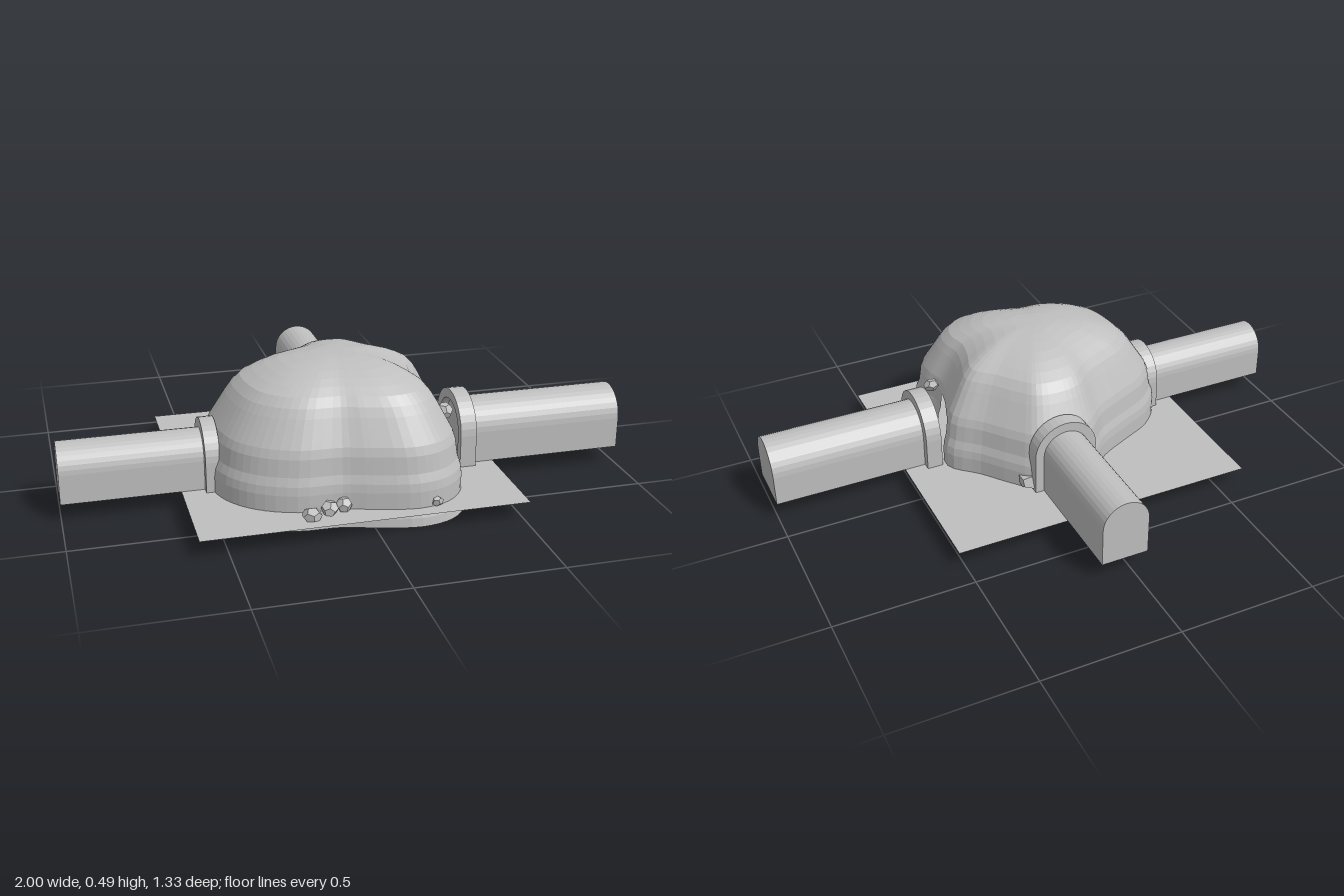
import * as THREE from 'three';

const stone = new THREE.MeshStandardMaterial({ color: 0xbfbfbf, flatShading: true, side: THREE.DoubleSide });
stone.name = 'grey stone';

const FLOOR = 0.062;
const APEX = new THREE.Vector2(-0.04, 0.21);

// Footprint of the cave as x, z points, anticlockwise from the left tunnel mouth
const footprint = [
  [0.335, 0.22], [0.37, 0.07], [0.28, -0.03], [0.2, -0.13], [0.13, -0.2], [0.02, -0.22],
  [-0.09, -0.2], [-0.18, -0.12], [-0.3, -0.06], [-0.42, 0.0], [-0.5, 0.1], [-0.5, 0.25],
  [-0.46, 0.39], [-0.38, 0.48], [-0.25, 0.54], [-0.1, 0.55], [0.0, 0.58], [0.15, 0.61],
  [0.26, 0.58], [0.33, 0.5], [0.34, 0.42], [0.32, 0.33],
];
// Height and footprint scale of each section, foot to crown
const sections = [
  [0.06, 1], [0.09, 1], [0.12, 1], [0.15, 0.99], [0.18, 0.965], [0.21, 0.955], [0.24, 0.945],
  [0.27, 0.92], [0.3, 0.88], [0.33, 0.84], [0.36, 0.8], [0.39, 0.755], [0.42, 0.69],
  [0.442, 0.6], [0.46, 0.51], [0.475, 0.41], [0.485, 0.3], [0.492, 0.18], [0.494, 0.08], [0.494, 0.001],
];

// Joins scaled copies of the footprint; keep() may leave openings
function loft(levels, count, keep = () => true) {
  const curve = new THREE.CatmullRomCurve3(footprint.map(([x, z]) => new THREE.Vector3(x, 0, z)), true);
  const ring = curve.getPoints(count).slice(0, count);
  const pos = [], index = [];
  for (const [y, s] of levels) {
    for (const p of ring) pos.push(APEX.x + (p.x - APEX.x) * s, y, APEX.y + (p.z - APEX.y) * s);
  }
  for (let i = 0; i < levels.length - 1; i++) {
    for (let j = 0; j < count; j++) {
      const a = i * count + j, b = i * count + (j + 1) % count;
      if (!keep(pos[a * 3], pos[a * 3 + 1], pos[a * 3 + 2])) continue;
      index.push(a, b, b + count, a, b + count, a + count);
    }
  }
  const g = new THREE.BufferGeometry();
  g.setAttribute('position', new THREE.Float32BufferAttribute(pos, 3));
  g.setIndex(index);
  g.computeVertexNormals();
  return g;
}

// Round-topped doorway outline standing on y = 0
function arch(target, half, top) {
  target.moveTo(-half, 0);
  target.lineTo(half, 0);
  target.lineTo(half, top - half);
  target.absarc(0, top - half, half, 0, Math.PI, false);
  target.lineTo(-half, 0);
  return target;
}

function addMesh(parent, name, geometry) {
  const m = new THREE.Mesh(geometry, stone);
  m.name = name;
  parent.add(m);
  return m;
}

// Tunnel running along local +z from its framed mouth
function tunnel({ name, at, turn, half, top, length, frameHalf, frameTop, depth }) {
  const g = new THREE.Group();
  g.name = name;
  const opts = { bevelEnabled: false, curveSegments: 8 };
  const passage = new THREE.ExtrudeGeometry(arch(new THREE.Shape(), half, top), { ...opts, depth: length - depth * 0.5 });
  passage.translate(0, 0, depth * 0.5);
  addMesh(g, 'passage', passage);
  const ringShape = arch(new THREE.Shape(), frameHalf, frameTop);
  ringShape.holes.push(arch(new THREE.Path(), half * 0.99, top - 0.002));
  addMesh(g, 'frame', new THREE.ExtrudeGeometry(ringShape, { ...opts, depth }));
  g.position.set(at[0], FLOOR + 0.002, at[1]);
  g.rotation.y = turn;
  return g;
}

export function createModel() {
  const model = new THREE.Group();
  model.name = 'cave with tunnels';

  // Rock dome with an opening towards the left tunnel
  const mouth = (x, y, z) => !(x > 0.2 && Math.abs(z - 0.21) < 0.08 && y < 0.24);
  addMesh(model, 'dome', loft(sections, 88, mouth));

  // Flared skirt below the floor
  addMesh(model, 'skirt', loft([[0, 1.035], [0.03, 1.025], [0.06, 1]], 88));

  // Thin floor sheet
  const floor = addMesh(model, 'floor', new THREE.PlaneGeometry(1.115, 1.07));
  floor.rotation.x = -Math.PI / 2;
  floor.position.set(-0.038, FLOOR, 0.125);

  // Three tunnels
  model.add(
    tunnel({ name: 'leftTunnel', at: [0.385, 0.21], turn: Math.PI / 2, half: 0.1, top: 0.212,
      length: 0.615, frameHalf: 0.13, frameTop: 0.245, depth: 0.058 }),
    tunnel({ name: 'rightTunnel', at: [-0.465, 0.205], turn: -Math.PI / 2, half: 0.086, top: 0.19,
      length: 0.535, frameHalf: 0.116, frameTop: 0.224, depth: 0.05 }),
    tunnel({ name: 'backTunnel', at: [0.03, -0.165], turn: Math.PI, half: 0.086, top: 0.23,
      length: 0.505, frameHalf: 0.118, frameTop: 0.265, depth: 0.055 }),
  );

  // Loose rocks: x, y, z, radius
  const rocks = [
    [-0.215, 0.075, 0.592, 0.034], [-0.15, 0.08, 0.57, 0.03], [-0.1, 0.085, 0.565, 0.028],
    [0.21, 0.075, 0.6, 0.022], [0.145, 0.09, -0.165, 0.045], [-0.09, 0.08, -0.175, 0.03],
    [0.335, 0.27, 0.3, 0.03],
  ];
  rocks.forEach(([x, y, z, r], i) => {
    const rock = addMesh(model, 'rock', new THREE.DodecahedronGeometry(r));
    rock.position.set(x, y, z);
    rock.scale.y = 0.75;
    rock.rotation.set(i * 0.7, i * 1.3, 0);
  });
  return model;
}
